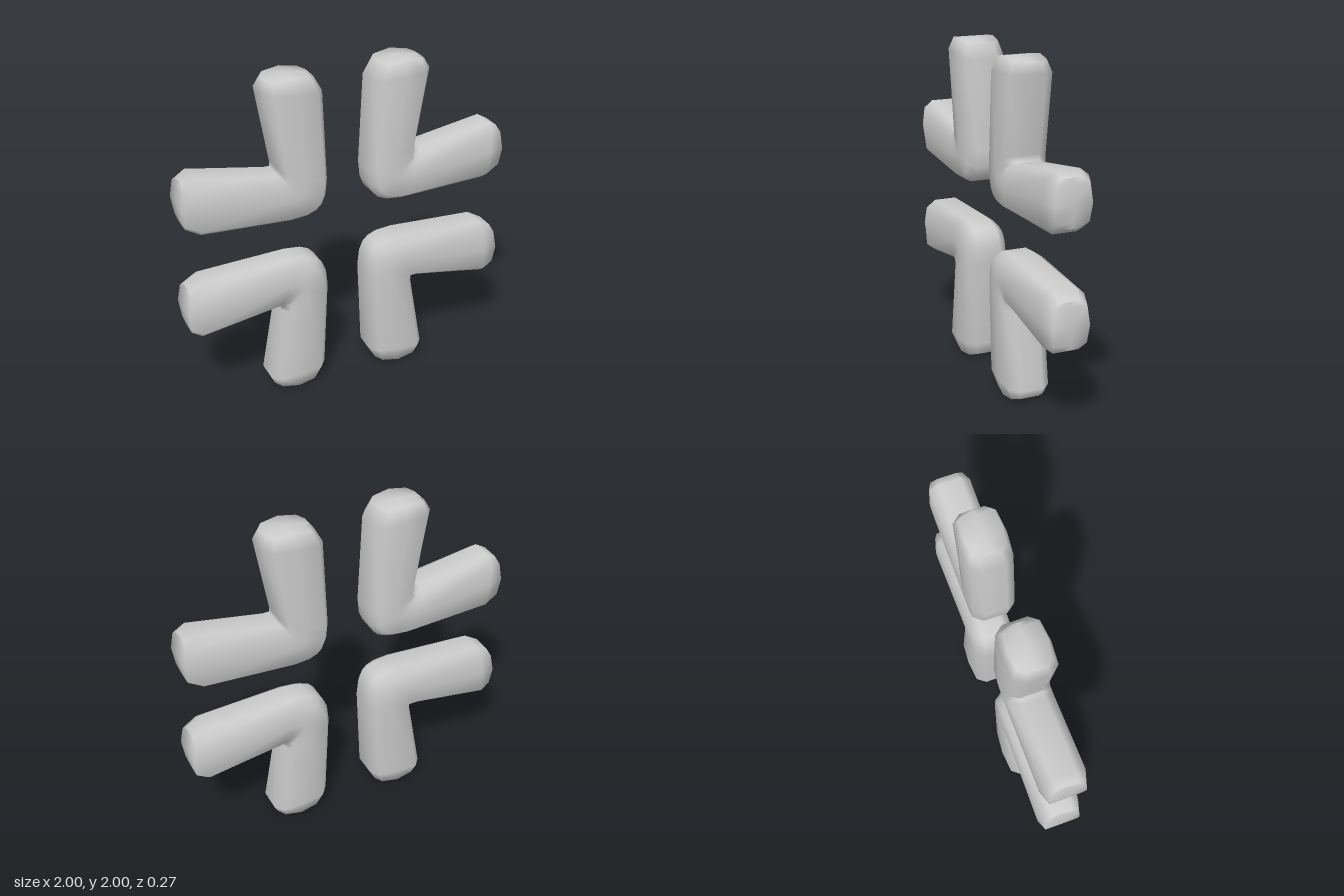
import * as THREE from 'three';
import { mergeVertices } from 'three/addons/utils/BufferGeometryUtils.js';

// Cross-section: position across the arm (0 outer, 1 inner) and half depth
const PROFILE = [[0, 0.07], [0.12, 0.123], [0.5, 0.135], [0.88, 0.123], [1, 0.07]];

// Stations from arm tip to elbow: outer x, y, inner x, y, depth scale, end bulge
const ARM = [
  [0.975, 0.20, 0.977, 0.475, 0, 0.024],
  [0.975, 0.20, 0.977, 0.475, 0.8, 0.024],
  [0.89, 0.155, 0.92, 0.505, 1, 0],
  [0.35, 0.13, 0.46, 0.425, 1, 0],
  [0.25, 0.14, 0.425, 0.425, 1, 0],
  [0.195, 0.163, 0.423, 0.423, 1, 0],
];

// One ring of points around a station; swapped gives the other arm
function ring([ox, oy, ix, iy, depth, bulge], swapped) {
  const half = (sign) => PROFILE.map(([s, d]) => {
    const x = ox + (ix - ox) * s + bulge * Math.sin(Math.PI * s);
    const y = oy + (iy - oy) * s;
    return swapped ? [y, x, sign * d * depth] : [x, y, sign * d * depth];
  });
  return [...half(1), ...half(-1).reverse()];
}

// Rounded elbow swept from one tip to the other
function elbowGeometry() {
  const rings = [
    ...ARM.map((s) => ring(s, false)),
    ...[...ARM].reverse().map((s) => ring(s, true)),
  ];
  const n = PROFILE.length * 2;
  const index = [];
  for (let i = 0; i < rings.length - 1; i++) {
    for (let j = 0; j < n; j++) {
      const a = i * n + j;
      const b = i * n + (j + 1) % n;
      index.push(a, b, a + n, b, b + n, a + n);
    }
  }
  const geometry = new THREE.BufferGeometry();
  geometry.setAttribute('position', new THREE.Float32BufferAttribute(rings.flat(2), 3));
  geometry.setIndex(index);
  const merged = mergeVertices(geometry, 1e-4);
  merged.computeVertexNormals();
  return merged;
}

export function createModel() {
  const group = new THREE.Group();
  group.name = 'cornerArrows';
  const geometry = elbowGeometry();
  const material = new THREE.MeshStandardMaterial({ color: 0xcccccc });

  // Four elbows turned around the centre
  ['upperLeftElbow', 'upperRightElbow', 'lowerRightElbow', 'lowerLeftElbow'].forEach((name, i) => {
    const elbow = new THREE.Mesh(geometry, material);
    elbow.name = name;
    elbow.position.y = 1;
    elbow.rotation.z = i * Math.PI / 2;
    group.add(elbow);
  });
  return group;
}
